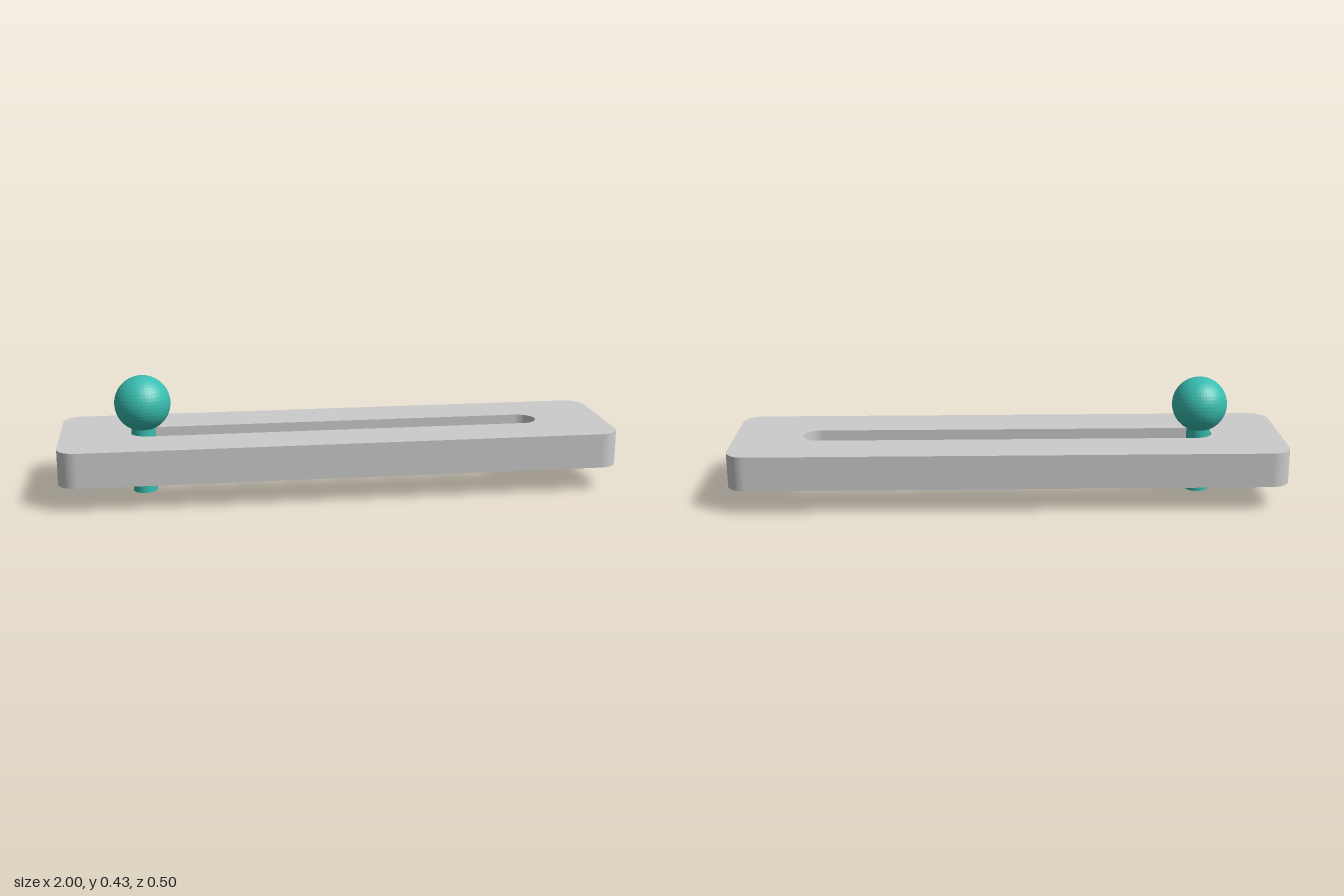
import * as THREE from 'three';

const PLATE_BOTTOM = 0.09, PLATE_HEIGHT = 0.125;
const PIN_X = -0.703, PIN_Z = 0.006;

// Rounded rectangle centred on the origin, traced on the given path
function roundedRect(path, halfW, halfH, r) {
  const x = halfW - r, y = halfH - r, q = Math.PI / 2;
  path.moveTo(halfW, -y);
  path.absarc(x, y, r, 0, q, false);
  path.absarc(-x, y, r, q, 2 * q, false);
  path.absarc(-x, -y, r, 2 * q, 3 * q, false);
  path.absarc(x, -y, r, 3 * q, 4 * q, false);
  return path;
}

export function createModel() {
  const group = new THREE.Group();
  const grey = new THREE.MeshStandardMaterial({ color: 0xcccccc, flatShading: true });
  const teal = new THREE.MeshStandardMaterial({ color: 0x38bdb0, flatShading: true });

  const add = (name, geometry, material, x, y, z) => {
    const mesh = new THREE.Mesh(geometry, material);
    mesh.name = name;
    mesh.position.set(x, y, z);
    group.add(mesh);
  };

  // Flat plate with rounded corners and a long round-ended slot
  const outline = roundedRect(new THREE.Shape(), 1, 0.25, 0.07);
  outline.holes.push(roundedRect(new THREE.Path(), 0.75, 0.0615, 0.0615));
  const plate = new THREE.ExtrudeGeometry(outline, {
    depth: PLATE_HEIGHT, bevelEnabled: false, curveSegments: 12,
  });
  plate.rotateX(-Math.PI / 2);
  add('slottedPlate', plate, grey, 0, PLATE_BOTTOM, 0);

  // Sliding pin through the slot, topped by a ball knob
  add('pin', new THREE.CylinderGeometry(0.0435, 0.0435, 0.26, 32), teal, PIN_X, 0.13, PIN_Z);
  add('ballKnob', new THREE.SphereGeometry(0.1, 48, 24), teal, PIN_X, 0.325, PIN_Z);

  return group;
}
